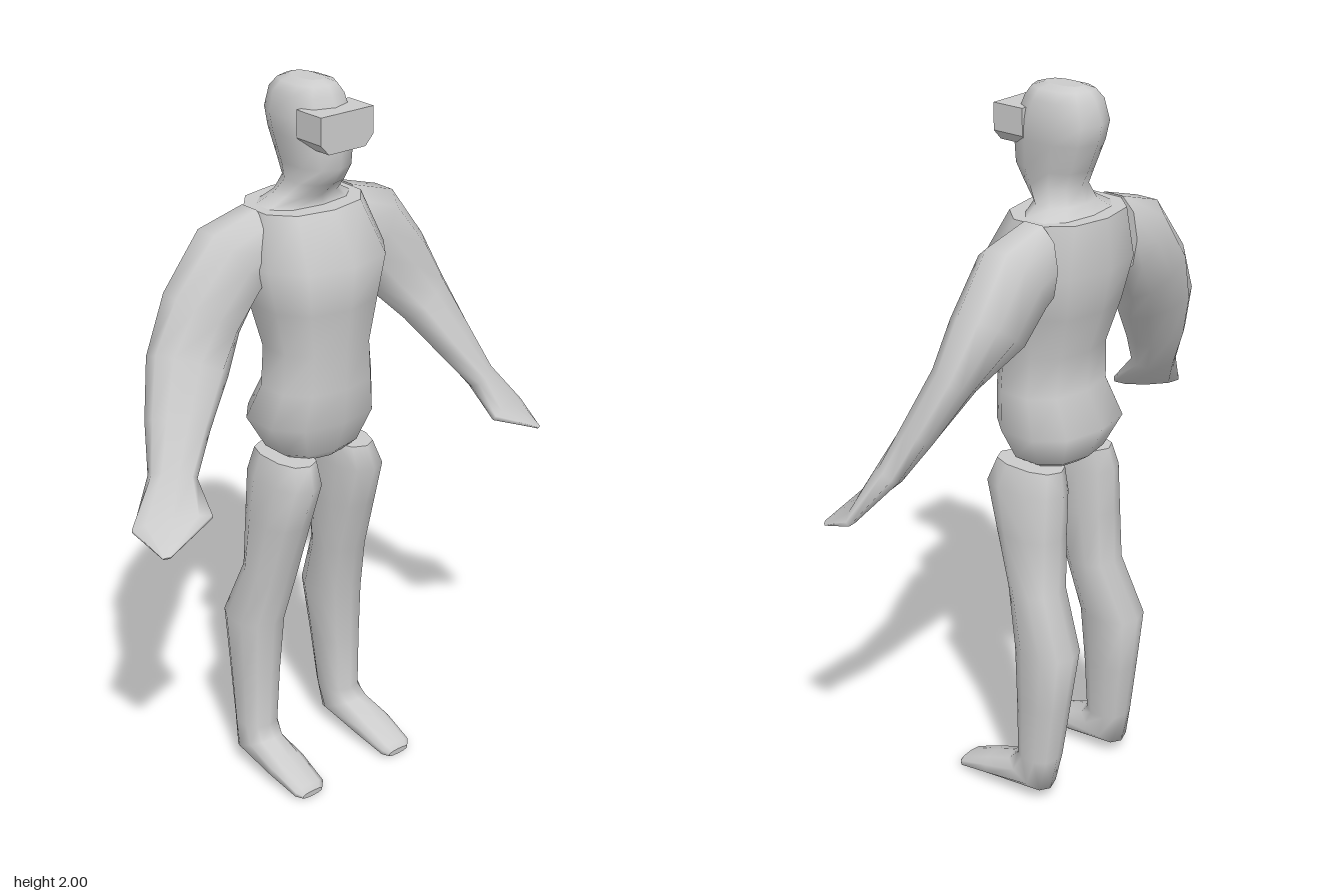
import * as THREE from 'three';

const SIDES = 10;
const material = new THREE.MeshStandardMaterial({ color: 0xcccccc, side: THREE.DoubleSide });
const V = (x, y, z) => new THREE.Vector3(x, y, z);

// Cross-section: centre c, half-axes u and v
const ring = (c, u, v) => ({ c: V(...c), u: V(...u), v: V(...v) });
// Horizontal cross-section from centre x, height, half-width, back and front z
const flat = (x, y, w, back, front) =>
  ring([x, y, (back + front) / 2], [w, 0, 0], [0, 0, (front - back) / 2]);

// Smooth skin through the cross-sections, with sharp flat caps
function loft(name, rings) {
  const pos = [], index = [];
  const addRing = ({ c, u, v }) => {
    const start = pos.length / 3;
    for (let j = 0; j < SIDES; j++) {
      const t = (j + 0.5) / SIDES * Math.PI * 2;
      const soft = (n) => Math.sign(n) * Math.abs(n) ** 0.85 * 1.03;
      const p = c.clone().addScaledVector(u, soft(Math.cos(t))).addScaledVector(v, soft(Math.sin(t)));
      pos.push(p.x, p.y, p.z);
    }
    return start;
  };
  const dir = rings[1].c.clone().sub(rings[0].c);
  const forward = rings[0].u.clone().cross(rings[0].v).dot(dir) > 0;
  const tri = (a, b, c) => (forward ? index.push(a, b, c) : index.push(a, c, b));
  const starts = rings.map(addRing);
  for (let i = 0; i + 1 < rings.length; i++) {
    for (let j = 0; j < SIDES; j++) {
      const k = (j + 1) % SIDES, s = starts[i], e = starts[i + 1];
      tri(s + j, s + k, e + j);
      tri(s + k, e + k, e + j);
    }
  }
  const cap = (r, end) => {
    const s = addRing(r);
    for (let j = 1; j + 1 < SIDES; j++) end ? tri(s, s + j, s + j + 1) : tri(s, s + j + 1, s + j);
  };
  cap(rings[0], false);
  cap(rings[rings.length - 1], true);
  const geo = new THREE.BufferGeometry();
  geo.setAttribute('position', new THREE.Float32BufferAttribute(pos, 3));
  geo.setIndex(index);
  geo.computeVertexNormals();
  const mesh = new THREE.Mesh(geo, material);
  mesh.name = name;
  return mesh;
}

// Opposite limb; swing moves it back the further out it reaches
function mirrored(rings, swing = 0) {
  return rings.map(({ c, u, v }) => ({
    c: V(-c.x, c.y, c.z - swing * Math.max(0, c.x - 0.2)),
    u: V(-u.x, u.y, u.z - swing * u.x),
    v: V(-v.x, v.y, v.z - swing * v.x),
  }));
}

export function createModel() {
  const group = new THREE.Group();
  group.name = 'figure';

  // Torso from pelvis to shoulders
  group.add(loft('torso', [
    flat(0, 0.975, 0.09, -0.11, 0.035),
    flat(0, 1.0, 0.13, -0.145, 0.06),
    flat(0, 1.09, 0.178, -0.19, 0.092),
    flat(0, 1.19, 0.155, -0.14, 0.1),
    flat(0, 1.3, 0.145, -0.145, 0.1),
    flat(0, 1.42, 0.17, -0.185, 0.115),
    flat(0, 1.54, 0.198, -0.212, 0.128),
    flat(0, 1.675, 0.16, -0.2, 0.05),
  ]));

  // Collar, neck and head
  group.add(loft('head', [
    flat(0.005, 1.675, 0.135, -0.16, 0.0),
    flat(0.005, 1.7, 0.09, -0.135, -0.005),
    flat(0.005, 1.74, 0.07, -0.12, 0.04),
    flat(0.005, 1.785, 0.075, -0.14, 0.068),
    flat(0.005, 1.86, 0.086, -0.17, 0.07),
    flat(0.005, 1.91, 0.088, -0.182, 0.06),
    flat(0.005, 1.965, 0.08, -0.165, 0.035),
    flat(0.005, 1.99, 0.06, -0.145, 0.02),
    flat(0.005, 2.0, 0.03, -0.12, -0.01),
  ]));

  // Visor: block with chamfered lower corners
  const outline = new THREE.Shape([
    [-0.081, 1.94], [-0.081, 1.868], [-0.055, 1.84], [0.065, 1.84], [0.091, 1.868], [0.091, 1.94],
  ].map(([x, y]) => new THREE.Vector2(x, y)));
  const visor = new THREE.Mesh(
    new THREE.ExtrudeGeometry(outline, { depth: 0.095, bevelEnabled: false }), material);
  visor.name = 'visor';
  group.add(visor);

  // Arms, ending in a flat wedge hand
  const arm = [
    ring([0.16, 1.57, -0.095], [0, 0.11, 0], [0, 0, 0.078]),
    ring([0.235, 1.545, -0.09], [0.06, 0.095, 0], [0, 0, 0.09]),
    ring([0.32, 1.43, -0.08], [0.085, 0.06, -0.01], [0.01, 0, 0.085]),
    ring([0.395, 1.315, -0.035], [0.082, 0.035, -0.035], [0, 0.02, 0.055]),
    ring([0.465, 1.185, 0.02], [0.064, 0.02, -0.03], [0, 0.02, 0.045]),
    ring([0.52, 1.075, 0.075], [0.046, 0.008, -0.03], [0.005, 0.02, 0.032]),
    ring([0.567, 0.98, 0.14], [0.09, -0.012, -0.04], [0.006, 0.016, 0.008]),
    ring([0.63, 0.928, 0.208], [0.008, -0.002, -0.005], [0.001, 0.003, 0.002]),
  ];
  group.add(loft('leftArm', arm), loft('rightArm', mirrored(arm, 0.13)));

  // Legs, turning forward at the heel into the foot
  const leg = [
    flat(0.1, 0.985, 0.055, -0.135, 0.07),
    flat(0.108, 0.92, 0.07, -0.148, 0.093),
    flat(0.115, 0.79, 0.072, -0.145, 0.05),
    flat(0.122, 0.63, 0.072, -0.145, 0.0),
    flat(0.142, 0.465, 0.073, -0.213, -0.038),
    flat(0.148, 0.3, 0.062, -0.192, -0.045),
    flat(0.153, 0.13, 0.055, -0.168, -0.05),
    ring([0.16, 0.068, -0.085], [0.055, 0, 0], [0, 0.035, 0.065]),
    ring([0.162, 0.045, 0.04], [0.058, 0, 0], [0, 0.03, 0.01]),
    ring([0.162, 0.018, 0.14], [0.05, 0, 0], [0, 0.017, 0.004]),
    ring([0.162, 0.01, 0.155], [0.035, 0, 0], [0, 0.009, 0.001]),
  ];
  group.add(loft('leftLeg', leg), loft('rightLeg', mirrored(leg)));
  return group;
}
